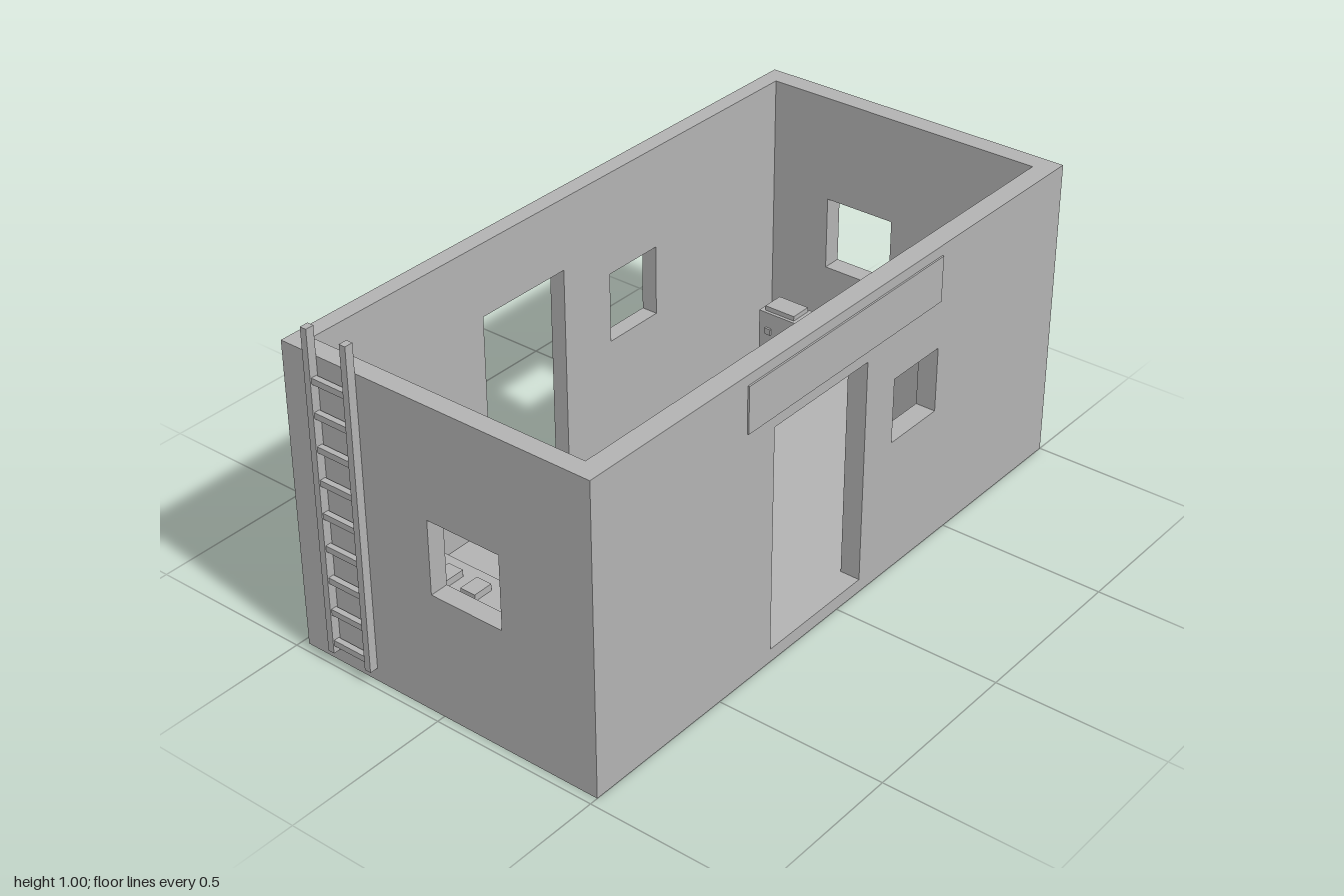
import * as THREE from 'three';

export function createModel() {
  const model = new THREE.Group();
  const grey = new THREE.MeshStandardMaterial({ color: 0xb2b2b2 });
  grey.name = 'grey';
  const H = 0.915, FLOOR = 0.04;

  // Box given by its limits on each axis
  function box(name, x0, x1, y0, y1, z0, z1, parent = model) {
    const mesh = new THREE.Mesh(new THREE.BoxGeometry(x1 - x0, y1 - y0, z1 - z0), grey);
    mesh.position.set((x0 + x1) / 2, (y0 + y1) / 2, (z0 + z1) / 2);
    mesh.name = name;
    parent.add(mesh);
    return mesh;
  }

  // Wall panel with rectangular openings [a0, a1, y0, y1]
  function wall(name, a0, a1, depth, openings) {
    const rect = (path, l, r, b, t) =>
      path.moveTo(l, b).lineTo(r, b).lineTo(r, t).lineTo(l, t).closePath();
    const shape = new THREE.Shape();
    rect(shape, a0, a1, 0, H);
    for (const o of openings) {
      const hole = new THREE.Path();
      rect(hole, ...o);
      shape.holes.push(hole);
    }
    const mesh = new THREE.Mesh(
      new THREE.ExtrudeGeometry(shape, { depth, bevelEnabled: false }), grey);
    mesh.name = name;
    model.add(mesh);
    return mesh;
  }

  // Walls with doors and windows
  wall('frontWall', -0.975, 1, 0.06,
    [[-0.29, 0.1, FLOOR, 0.715], [0.225, 0.425, 0.41, 0.605]]).position.z = 0.44;
  wall('backWall', -0.975, 1, 0.05,
    [[-0.32, 0, FLOOR, 0.7], [0.19, 0.39, 0.39, 0.605]]).position.z = -0.48;
  const rightWall = wall('rightWall', -0.43, 0.44, 0.055, [[-0.02, 0.21, 0.365, 0.585]]);
  const leftWall = wall('leftWall', -0.43, 0.44, 0.06, [[-0.235, -0.01, 0.37, 0.595]]);
  rightWall.position.x = -0.92;
  leftWall.position.x = 1;
  rightWall.rotation.y = leftWall.rotation.y = -Math.PI / 2;

  // Floor slab
  box('floor', -0.92, 0.94, 0, FLOOR, -0.43, 0.44);

  // Plain sign board above the front door
  box('signBoard', -0.4, 0.42, 0.75, 0.885, 0.5, 0.505);

  // Board on the back wall with a rail and three pegs
  const board = new THREE.Group();
  board.name = 'backBoard';
  model.add(board);
  box('boardPanel', 0.45, 0.95, 0.33, 0.713, -0.495, -0.48, board);
  box('boardRail', 0.5, 0.91, 0.352, 0.366, -0.501, -0.495, board);
  for (const x of [0.56, 0.7, 0.85])
    box('boardPeg', x - 0.008, x + 0.008, 0.35, 0.374, -0.505, -0.495, board);

  // Ladder on the side wall
  const ladder = new THREE.Group();
  ladder.name = 'ladder';
  model.add(ladder);
  for (const z of [-0.24, -0.37])
    box('ladderRail', -1, -0.975, FLOOR, 1, z - 0.01, z + 0.01, ladder);
  for (let i = 0; i < 9; i++) {
    const y = 0.07 + i * 0.098;
    box('ladderRung', -0.996, -0.979, y - 0.009, y + 0.009, -0.36, -0.25, ladder);
  }

  // Floor cabinets, each with two small blocks on top
  function cabinet(x0, x1, z0, z1, blockX, blockZs) {
    const group = new THREE.Group();
    group.name = 'cabinet';
    model.add(group);
    box('cabinetBody', x0, x1, FLOOR, 0.3, z0, z1, group);
    for (const z of blockZs)
      box('cabinetBlock', blockX - 0.03, blockX + 0.03, 0.3, 0.32, z - 0.024, z + 0.024, group);
  }
  cabinet(-0.915, -0.76, -0.2, 0.105, -0.835, [-0.1, -0.005]);
  cabinet(0.78, 0.925, 0.095, 0.37, 0.855, [0.178, 0.273]);

  // Small unit in the back corner
  const unit = new THREE.Group();
  unit.name = 'cornerUnit';
  model.add(unit);
  box('unitBody', 0.825, 0.915, FLOOR, 0.22, -0.39, -0.245, unit);
  box('unitTop', 0.835, 0.905, 0.22, 0.235, -0.375, -0.27, unit);
  for (const z of [-0.355, -0.29])
    box('unitKnob', 0.818, 0.825, 0.15, 0.17, z - 0.01, z + 0.01, unit);

  return model;
}
